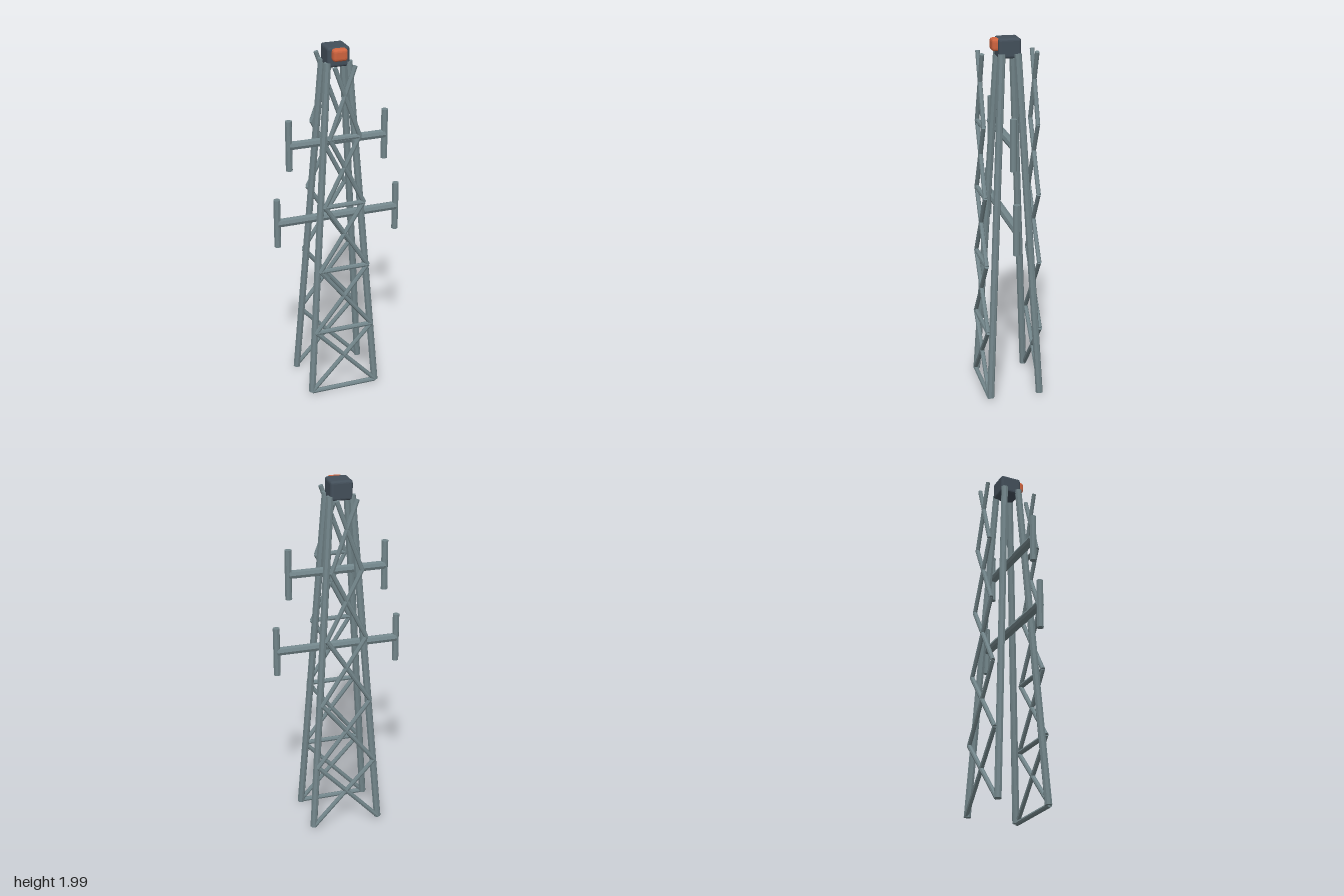
import * as THREE from 'three';
import { RoundedBoxGeometry } from 'three/addons/geometries/RoundedBoxGeometry.js';

const mat = (name, color) => {
  const m = new THREE.MeshStandardMaterial({ color, flatShading: true });
  m.name = name;
  return m;
};

export function createModel() {
  const steel = mat('galvanised steel', 0x72858a);
  const dark = mat('dark housing', 0x434f5a);
  const orange = mat('orange beacon', 0xd0643f);
  const model = new THREE.Group();
  model.name = 'latticeTower';

  // Eight-sided bar between two points
  const bar = (name, a, b, r) => {
    const p = new THREE.Vector3(...a), q = new THREE.Vector3(...b);
    const dir = q.clone().sub(p);
    const m = new THREE.Mesh(new THREE.CylinderGeometry(r, r, dir.length(), 8), steel);
    m.position.copy(p).add(q).multiplyScalar(0.5);
    m.quaternion.setFromUnitVectors(new THREE.Vector3(0, 1, 0), dir.normalize());
    m.name = name;
    model.add(m);
  };
  const box = (name, size, pos, r, material) => {
    const m = new THREE.Mesh(new RoundedBoxGeometry(...size, 2, r), material);
    m.position.set(...pos);
    m.name = name;
    model.add(m);
  };

  // Four leaning legs
  for (const x of [-1, 1]) for (const z of [-1, 1])
    bar('leg', [x * 0.19, 0.018, z * 0.14], [x * 0.058, 1.92, z * 0.043], 0.02);

  // Five crossed panels on the front and back, with level rails on the front
  const levelY = (i) => 0.02 + i * 0.381;
  const halfWidth = (i) => 0.19 - i * 0.027;
  for (let i = 0; i < 5; i++) {
    for (const z of [-0.147, 0.147]) for (const s of [-1, 1])
      bar('diagonalBrace', [s * halfWidth(i), levelY(i), z], [-s * halfWidth(i + 1), levelY(i + 1), z], 0.0125);
    bar('rail', [-halfWidth(i), levelY(i), 0.147], [halfWidth(i), levelY(i), 0.147], 0.0135);
  }

  // Cross arms with upright antennas at the ends
  for (const [y, reach] of [[1.055, 0.34], [1.49, 0.267]]) {
    bar('crossArm', [-reach, y, 0.031], [reach, y, 0.031], 0.024);
    for (const s of [-1, 1])
      bar('antenna', [s * reach, y - 0.138, 0.031], [s * reach, y + 0.138, 0.031], 0.019);
  }

  // Head housing and beacon
  box('headHousing', [0.12, 0.105, 0.12], [0, 1.9475, -0.002], 0.014, dark);
  box('beacon', [0.08, 0.065, 0.05], [0, 1.964, 0.064], 0.016, orange);
  return model;
}
